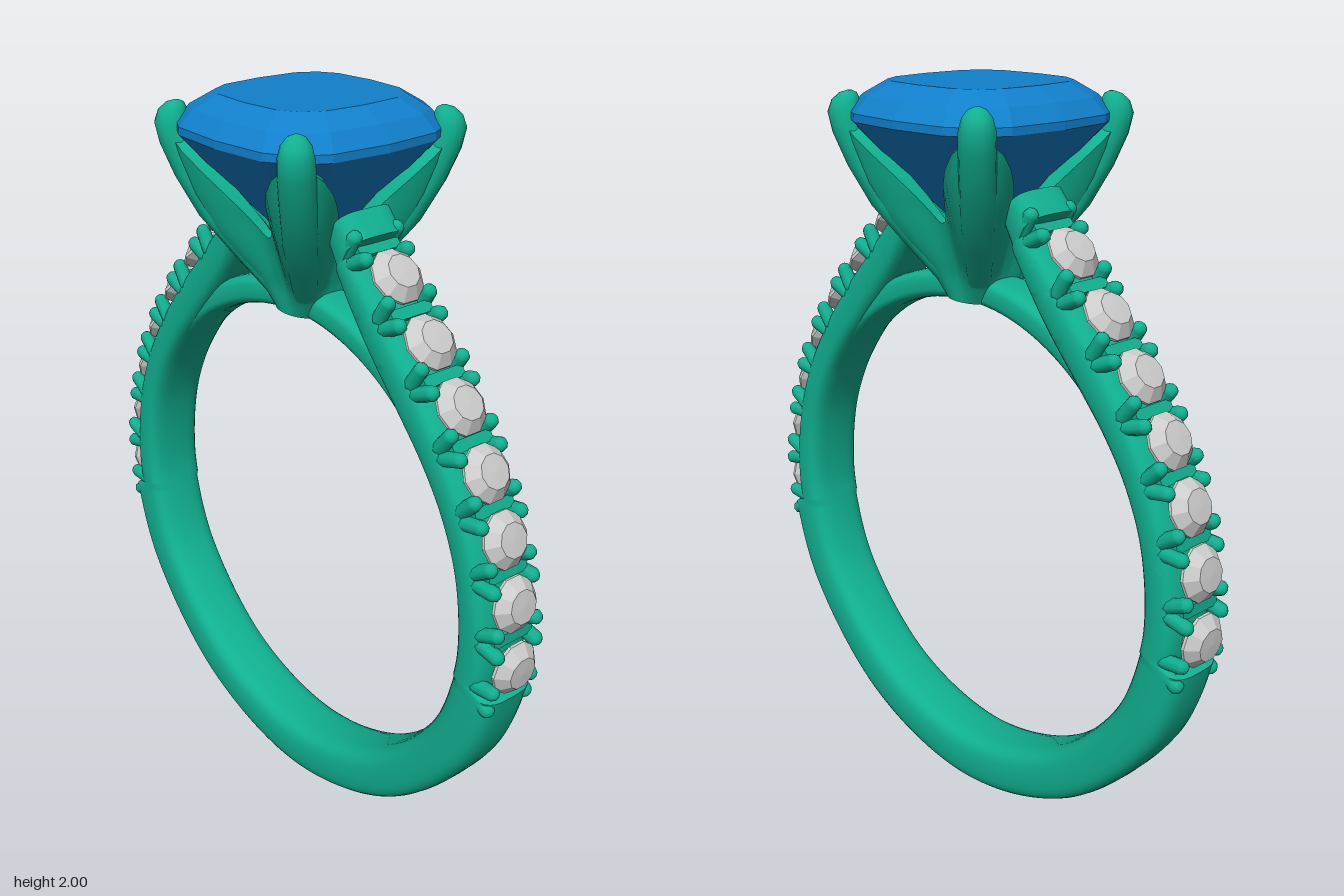
import * as THREE from 'three';
import { toCreasedNormals } from 'three/addons/utils/BufferGeometryUtils.js';

const V2 = (x, y) => new THREE.Vector2(x, y);
const V3 = (x, y, z) => new THREE.Vector3(x, y, z);
const spow = (v, p) => Math.sign(v) * Math.abs(v) ** p;

// superellipse outline in the unit square
function outline(count, n) {
  return Array.from({ length: count }, (_, i) => {
    const a = (i / count) * Math.PI * 2;
    return V2(spow(Math.cos(a), 2 / n), spow(Math.sin(a), 2 / n));
  });
}

// capped skin over a list of closed rings, always facing outward
function loft(rings) {
  const n = rings[0].length, m = rings.length, pts = rings.flat(), idx = [];
  for (let i = 0; i < m - 1; i++) for (let j = 0; j < n; j++) {
    const k = (j + 1) % n, a = i * n + j, b = i * n + k, c = a + n, d = b + n;
    idx.push(a, b, d, a, d, c);
  }
  for (const [r, flip] of [[0, true], [m - 1, false]]) {
    const centre = V3(0, 0, 0), base = pts.length;
    rings[r].forEach((p) => centre.addScaledVector(p, 1 / n));
    const cap = [...rings[r].map((p) => p.clone()), centre];
    pts.push(...cap);
    for (let j = 0; j < n; j++) {
      const a = base + j, b = base + (j + 1) % n;
      idx.push(...(flip ? [b, a, base + n] : [a, b, base + n]));
    }
  }
  let volume = 0;
  for (let i = 0; i < idx.length; i += 3) {
    volume += pts[idx[i]].dot(V3(0, 0, 0).crossVectors(pts[idx[i + 1]], pts[idx[i + 2]]));
  }
  if (volume < 0) idx.reverse();
  const g = new THREE.BufferGeometry().setFromPoints(pts);
  g.setIndex(idx);
  g.computeVertexNormals();
  return g;
}

// linear lookup in [key, value] pairs
function lerpTable(table, x) {
  for (let i = 1; i < table.length; i++) {
    const [x0, y0] = table[i - 1], [x1, y1] = table[i];
    if (x <= x1) return y0 + (y1 - y0) * Math.max(0, (x - x0) / (x1 - x0));
  }
  return table[table.length - 1][1];
}

export function createModel() {
  const ring = new THREE.Group();
  ring.name = 'ring';
  const metal = new THREE.MeshStandardMaterial({ color: 0x10b090 });
  const blue = new THREE.MeshStandardMaterial({ color: 0x1180cc, flatShading: true });
  const grey = new THREE.MeshStandardMaterial({ color: 0xcccccc, flatShading: true });
  const add = (parent, name, geometry, material) => {
    const mesh = new THREE.Mesh(geometry, material);
    mesh.name = name;
    parent.add(mesh);
    return mesh;
  };

  // outer and inner edge of one half of the band, from the bottom to the shoulder tip
  const stations = [
    [0, 0, 0, 0.155], [0.395, 0.113, 0.32, 0.243], [0.684, 0.405, 0.557, 0.478],
    [0.778, 0.663, 0.633, 0.688], [0.79, 0.8, 0.643, 0.8], [0.765, 0.97, 0.62, 0.97],
    [0.715, 1.12, 0.565, 1.105], [0.635, 1.27, 0.495, 1.21], [0.525, 1.42, 0.4, 1.32],
    [0.4, 1.56, 0.29, 1.45], [0.29, 1.68, 0.2, 1.585], [0.215, 1.76, 0.15, 1.68],
  ];
  const edge = (k) => {
    const half = stations.map((s) => V3(s[k], s[k + 1], 0));
    const mirrored = half.slice(1).reverse().map((p) => V3(-p.x, p.y, 0));
    return new THREE.CatmullRomCurve3([...mirrored, ...half]);
  };
  const outer = edge(0), inner = edge(2);

  // band, cut down where the small stones sit
  const section = outline(28, 3.4);
  const slab = (o, i, halfWidth) => section.map((s) => {
    const p = i.clone().lerp(o, (s.x + 1) / 2);
    return p.setZ(s.y * halfWidth);
  });
  const bandRings = [];
  for (let k = 0; k <= 320; k++) {
    const o = outer.getPoint(k / 320), i = inner.getPoint(k / 320);
    const cut = o.y > 0.655 && o.y < 1.705 ? 0.045 : 0;
    o.addScaledVector(i.clone().sub(o).normalize(), cut);
    bandRings.push(slab(o, i, 0.088));
  }
  add(ring, 'band', toCreasedNormals(loft(bandRings), 0.7), metal);

  // bridge closing the finger hole under the setting
  const bridgeRings = [];
  for (let k = 0; k <= 48; k++) {
    const a = THREE.MathUtils.degToRad(36 + (108 * k) / 48);
    const at = (r) => V3(r * Math.cos(a), 0.8 + r * Math.sin(a), 0);
    bridgeRings.push(slab(at(0.72), at(0.643), 0.062 + 0.022 * Math.cos(a) ** 2));
  }
  add(ring, 'bridge', loft(bridgeRings), metal);

  // frame on the outer edge of the shoulder at a given height: y outward, z across
  const frameAt = (y) => {
    let lo = 0.5, hi = 1;
    for (let k = 0; k < 30; k++) {
      const mid = (lo + hi) / 2;
      if (outer.getPoint(mid).y < y) lo = mid; else hi = mid;
    }
    const t = outer.getTangent(lo);
    return new THREE.Matrix4()
      .makeBasis(V3(-t.x, -t.y, 0), V3(t.y, -t.x, 0), V3(0, 0, 1))
      .setPosition(outer.getPoint(lo));
  };

  // small stones and their split prongs along one shoulder
  const shoulder = new THREE.Group();
  shoulder.name = 'leftShoulderStones';
  const smallStone = new THREE.LatheGeometry(
    [V2(0, -0.07), V2(0.073, -0.022), V2(0.073, -0.014), V2(0.044, 0.014), V2(0, 0.016)], 10);
  for (const y of [0.74, 0.92, 1.08, 1.23, 1.37, 1.5, 1.63]) {
    add(shoulder, 'smallStone', smallStone, grey).applyMatrix4(frameAt(y));
  }
  const smallProng = new THREE.CapsuleGeometry(0.02, 0.05, 4, 8);
  const bar = new THREE.BoxGeometry(0.03, 0.05, 0.13);
  [0.66, 0.83, 1.0, 1.155, 1.3, 1.435, 1.565, 1.695].forEach((y) => {
    const cell = new THREE.Group();
    cell.name = 'prongCluster';
    add(cell, 'seatBar', bar, metal).position.y = -0.05;
    for (const sx of [-1, 1]) for (const sz of [-1, 1]) {
      const p = add(cell, 'smallProng', smallProng, metal);
      p.position.set(sx * 0.022, -0.04, sz * 0.067);
      p.rotation.z = -sx * 0.3;
    }
    cell.applyMatrix4(frameAt(y));
    shoulder.add(cell);
  });
  ring.add(shoulder);
  const other = shoulder.clone();
  other.name = 'rightShoulderStones';
  other.rotation.y = Math.PI;
  ring.add(other);

  // setting: four-cornered cup whose rim rises toward the prongs
  const corner = [[1.45, 0.085], [1.52, 0.125], [1.6, 0.2], [1.66, 0.25], [1.75, 0.3], [1.85, 0.335], [1.93, 0.35]];
  const face = [[1.45, 0.08], [1.52, 0.09], [1.67, 0.135], [1.93, 0.24]];
  const cupRing = (v, inset) => Array.from({ length: 64 }, (_, j) => {
    const a = (j / 64) * Math.PI * 2, w = Math.sin(2 * a) ** 2;
    const top = 1.66 + 0.24 * w ** 1.1;
    const y = 1.45 + (top - 1.45) * v;
    const f = lerpTable(face, y);
    const r = (f + (lerpTable(corner, y) - f) * w ** 1.5) * (1 - inset);
    return V3(r * Math.sin(a), y, r * Math.cos(a));
  });
  const cupRings = [];
  for (let k = 0; k <= 12; k++) cupRings.push(cupRing(k / 12, 0));
  for (const [v, inset] of [[1, 0.18], [0.8, 0.32], [0.5, 0.6]]) cupRings.push(cupRing(v, inset));
  add(ring, 'settingCup', toCreasedNormals(loft(cupRings), 0.8), metal);

  // four main prongs: distance from axis, height, radius
  const prongPath = [
    [0.085, 1.5, 0.03], [0.165, 1.6, 0.038], [0.235, 1.69, 0.044], [0.292, 1.79, 0.044],
    [0.325, 1.87, 0.045], [0.337, 1.92, 0.044], [0.334, 1.95, 0.036], [0.328, 1.967, 0.022], [0.324, 1.973, 0.006],
  ];
  const circle = outline(16, 2);
  const prong = loft(prongPath.map(([d, y, r]) => circle.map((c) => V3(d + c.x * r, y, c.y * r))));
  for (let k = 0; k < 4; k++) {
    add(ring, 'mainProng', prong, metal).rotation.y = Math.PI / 4 + (k * Math.PI) / 2;
  }

  // cushion-cut centre stone: height and half width per ring
  const cushion = outline(16, 3.3);
  const cut = [[1.61, 0.015], [1.68, 0.09], [1.79, 0.19], [1.905, 0.287], [1.925, 0.287], [1.965, 0.255], [2.0, 0.2]];
  const stone = loft(cut.map(([y, s]) => cushion.map((c) => V3(c.x * s, y, c.y * s))));
  add(ring, 'centreStone', stone, blue);

  return ring;
}
